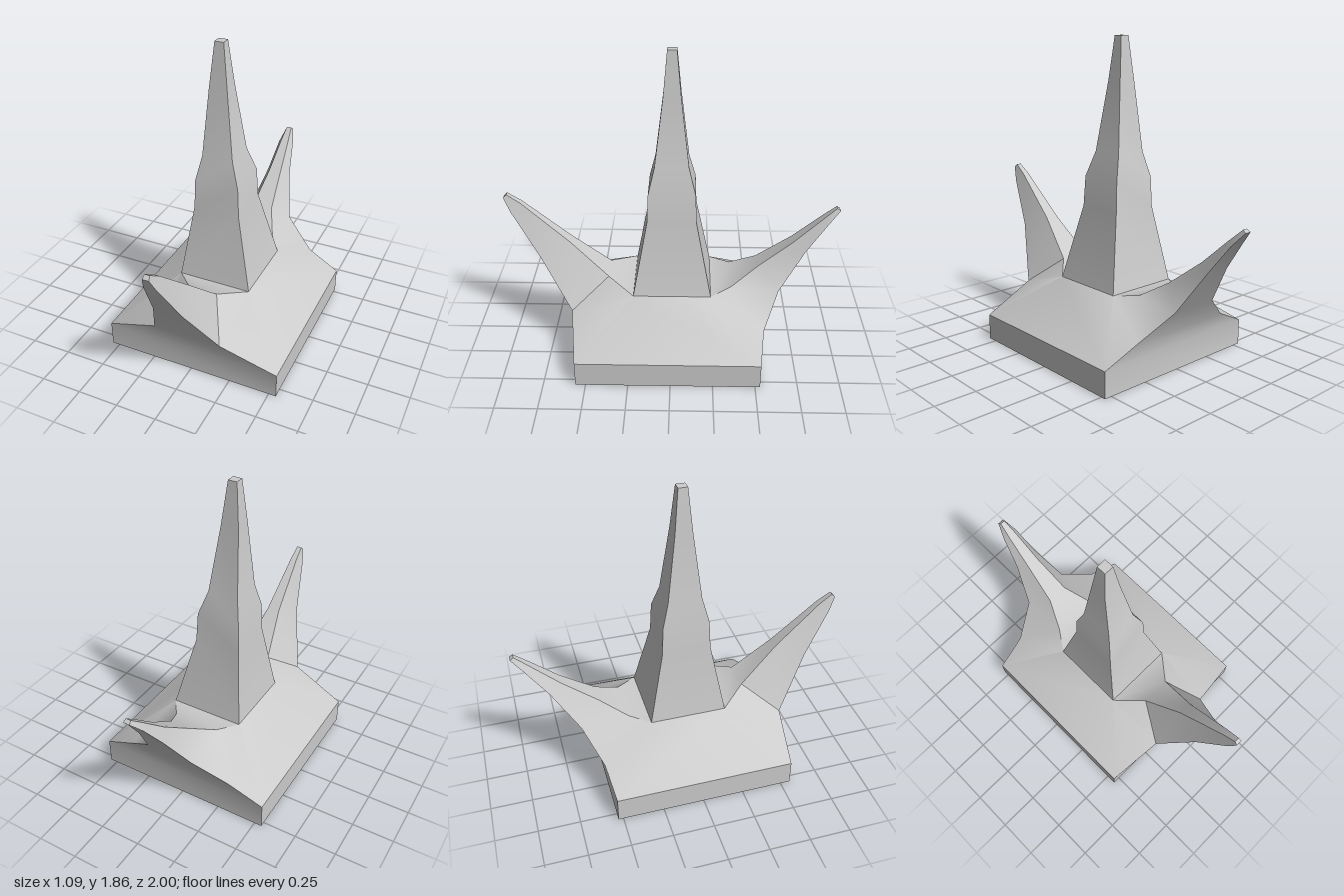
import * as THREE from 'three';
import { mergeGeometries, toCreasedNormals } from 'three/addons/utils/BufferGeometryUtils.js';

// Skins a list of four-cornered rings; each quad is split along its shorter diagonal.
function loft(rings, capStart, capEnd) {
  const pos = [];
  const tri = (...pts) => pts.forEach((p) => pos.push(p.x, p.y, p.z));
  const quad = (a, b, c, d) => {
    if (a.distanceTo(c) < b.distanceTo(d)) {
      tri(a, b, c);
      tri(a, c, d);
    } else {
      tri(a, b, d);
      tri(b, c, d);
    }
  };
  for (let i = 0; i < rings.length - 1; i++) {
    const r = rings[i], s = rings[i + 1];
    for (let k = 0; k < 4; k++) {
      const n = (k + 1) % 4;
      quad(r[k], r[n], s[n], s[k]);
    }
  }
  if (capStart) quad(...[...rings[0]].reverse());
  if (capEnd) quad(...rings[rings.length - 1]);
  const geometry = new THREE.BufferGeometry();
  geometry.setAttribute('position', new THREE.Float32BufferAttribute(pos, 3));
  return geometry;
}

const v = (x, y, z) => new THREE.Vector3(x, y, z);

// Level rectangular ring
const levelRing = (y, x0, x1, z0, z1) => [v(x0, y, z1), v(x1, y, z1), v(x1, y, z0), v(x0, y, z0)];

// Upright ring, mirrored in x: lower edge then upper edge, each as half width, y, z
const hornRing = ([lx, ly, lz, ux, uy, uz]) =>
  [v(-lx, ly, lz), v(lx, ly, lz), v(ux, uy, uz), v(-ux, uy, uz)];

export function createModel() {
  const group = new THREE.Group();
  const material = new THREE.MeshStandardMaterial({ color: 0xcccccc });
  const add = (name, geometry) => {
    const mesh = new THREE.Mesh(toCreasedNormals(geometry, 0.6), material);
    mesh.name = name;
    group.add(mesh);
  };

  // Slab foot
  const slab = loft([
    levelRing(0, -0.545, 0.545, -0.53, 0.56),
    levelRing(0.155, -0.545, 0.545, -0.53, 0.56),
  ], true, false);

  // Sloped shoulders running out into a curved horn at the back and front
  const shoulders = loft([
    [0.02, 0.9, -1, 0.015, 0.915, -0.98],
    [0.05, 0.82, -0.93, 0.025, 0.845, -0.9],
    [0.08, 0.65, -0.805, 0.04, 0.69, -0.73],
    [0.15, 0.41, -0.65, 0.065, 0.53, -0.52],
    [0.34, 0.255, -0.555, 0.14, 0.43, -0.36],
    [0.545, 0.155, -0.53, 0.225, 0.415, -0.237],
    [0.545, 0.155, 0.56, 0.225, 0.415, 0.228],
    [0.21, 0.29, 0.605, 0.09, 0.465, 0.385],
    [0.09, 0.61, 0.8, 0.04, 0.68, 0.62],
    [0.04, 0.88, 0.96, 0.02, 0.93, 0.9],
    [0.02, 0.965, 1, 0.015, 0.985, 0.98],
  ].map(hornRing), true, true);
  add('baseWithHorns', mergeGeometries([slab, shoulders]));

  // Leaning spire: y, x range, z range
  add('spire', loft([
    [0.415, -0.225, 0.225, -0.237, 0.228],
    [0.86, -0.165, 0.12, -0.147, 0.145],
    [1.04, -0.16, 0.11, -0.14, 0.137],
    [1.19, -0.13, 0.06, -0.1, 0.1],
    [1.6, -0.105, 0.005, -0.052, 0.05],
    [1.86, -0.08, -0.025, -0.028, 0.027],
  ].map((r) => levelRing(...r)), false, true));

  return group;
}
